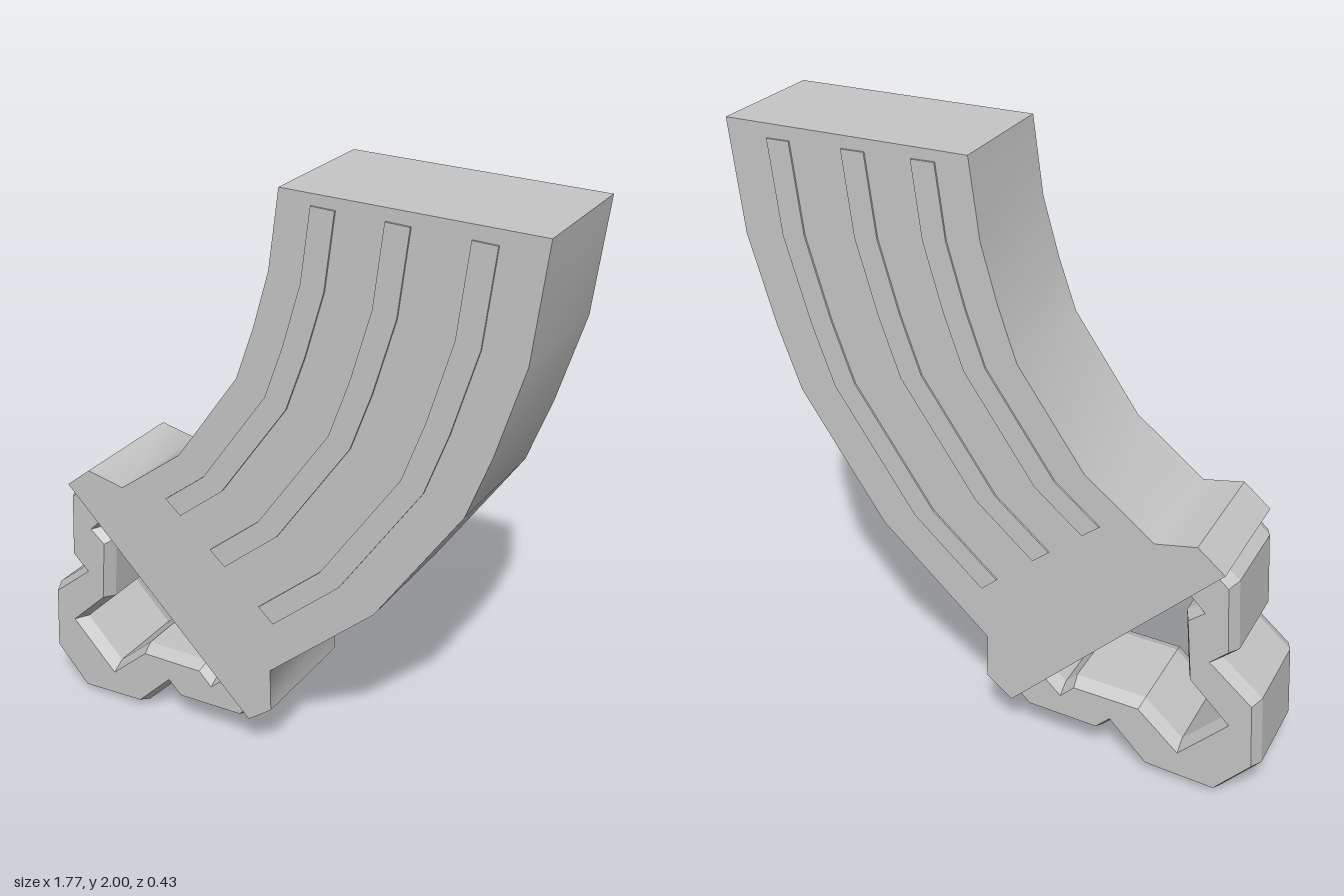
import * as THREE from 'three';
import { toCreasedNormals } from 'three/addons/utils/BufferGeometryUtils.js';

const HALF = 0.21; // half thickness of the body

// Matching stations down the inner and outer curves of the body
const inner = [[0.08, 2], [0.045, 1.75], [-0.01, 1.56], [-0.07, 1.39], [-0.29, 1.075], [-0.52, 0.895]];
const outer = [[0.885, 2], [0.848, 1.64], [0.765, 1.35], [0.69, 1.14], [0.41, 0.72], [0.04, 0.38]];

const toShape = (pts) => new THREE.Shape(pts.map(([x, y]) => new THREE.Vector2(x, y)));
const mix = (a, b, t) => [a[0] + (b[0] - a[0]) * t, a[1] + (b[1] - a[1]) * t];

// Extrude an outline so that it is centred on z = 0
function slab(pts, depth, bevel) {
  const options = { depth, bevelEnabled: false, ...bevel };
  const geometry = new THREE.ExtrudeGeometry(toShape(pts), options);
  return geometry.translate(0, 0, -depth / 2);
}

// Line running down the body at a fraction f of its width
function ribEdge(f) {
  const line = inner.map((p, i) => mix(p, outer[i], f));
  line[0] = mix(line[0], line[1], 0.13);
  line[5] = mix(line[4], line[5], 0.58 + 0.12 * f);
  return line;
}

export function createModel() {
  const group = new THREE.Group();
  const grey = new THREE.MeshStandardMaterial({ color: 0xc5c5c5 });
  grey.name = 'lightGrey';

  const add = (name, geometry) => {
    const mesh = new THREE.Mesh(geometry, grey);
    mesh.name = name;
    group.add(mesh);
    return mesh;
  };

  // Curved body with the flared foot at its lower end; the neck blends smoothly
  const foot = [[0.042, 0.225], [-0.045, 0.155], [-0.745, 0.845], [-0.655, 0.92]];
  const outline = [...outer, ...foot, ...[...inner].reverse()];
  add('body', toCreasedNormals(slab(outline, HALF * 2), 0.866));

  // Three shallow ribs on each broad side
  for (const [a, b] of [[0.135, 0.23], [0.42, 0.515], [0.735, 0.83]]) {
    const rib = slab([...ribEdge(a), ...ribEdge(b).reverse()], 0.008);
    for (const side of [1, -1]) {
      add(side > 0 ? 'frontRib' : 'backRib', rib).position.z = side * (HALF + 0.002);
    }
  }

  // Bevelled pull loop below the foot, its ends sunk into the body
  const loopOuter = [
    [-0.69, 0.865], [-0.77, 0.795], [-0.785, 0.55], [-0.735, 0.505], [-0.87, 0.39], [-0.885, 0.145],
    [-0.755, 0], [-0.505, 0.02], [-0.385, 0.145], [-0.345, 0.105], [-0.09, 0.12], [-0.02, 0.19],
  ];
  const loopInner = [
    [-0.13, 0.31], [-0.21, 0.235], [-0.25, 0.275], [-0.49, 0.265], [-0.62, 0.145],
    [-0.755, 0.285], [-0.63, 0.41], [-0.61, 0.645], [-0.655, 0.68], [-0.58, 0.755],
  ];
  add('pullLoop', slab([...loopOuter, ...loopInner], 0.28, {
    bevelEnabled: true, bevelSegments: 1, bevelThickness: 0.045, bevelSize: 0.02, bevelOffset: -0.02,
  }));

  return group;
}
